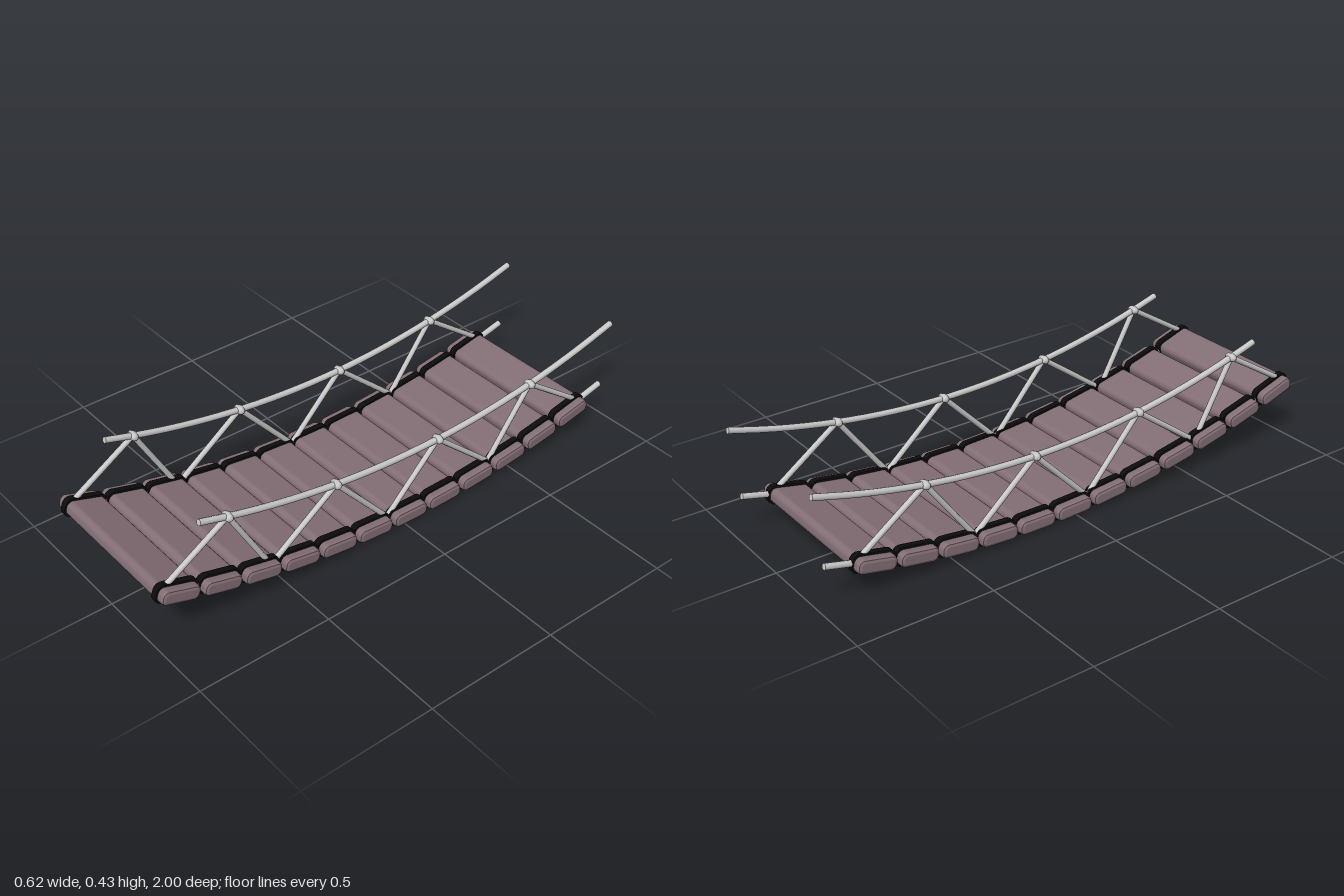
import * as THREE from 'three';

const wood = new THREE.MeshStandardMaterial({ color: 0x846f76 });
const black = new THREE.MeshStandardMaterial({ color: 0x0c0c0c });
const grey = new THREE.MeshStandardMaterial({ color: 0xcccccc });

const SIDE_X = 0.268;
const PLANKS = 12;
const ROPE_R = 0.0115;

// sagging curves of the deck and of the hand rope
const deckY = (z) => 0.034 + 0.159 * (z + 0.12) ** 2;
const railY = (z) => 0.272 + 0.169 * (z + 0.12) ** 2;

function add(parent, name, geometry, material) {
  const mesh = new THREE.Mesh(geometry, material);
  mesh.name = name;
  parent.add(mesh);
  return mesh;
}

// rounded rectangle cross-section extruded across x, centred on the origin
function slab(halfLength, halfHeight, radius, width, bevel) {
  const l = halfLength - bevel, h = halfHeight - bevel;
  const r = Math.max(radius - bevel, 0.002);
  const s = new THREE.Shape();
  s.absarc(l - r, h - r, r, 0, Math.PI / 2);
  s.absarc(-l + r, h - r, r, Math.PI / 2, Math.PI);
  s.absarc(-l + r, -h + r, r, Math.PI, Math.PI * 1.5);
  s.absarc(l - r, -h + r, r, Math.PI * 1.5, Math.PI * 2);
  s.closePath();
  const g = new THREE.ExtrudeGeometry(s, {
    depth: width - 2 * bevel,
    curveSegments: 3,
    bevelEnabled: bevel > 0,
    bevelSize: bevel,
    bevelThickness: bevel,
    bevelSegments: 2,
  });
  g.translate(0, 0, -width / 2 + bevel);
  g.rotateY(-Math.PI / 2);
  return g;
}

// capped rope following a height function between two z positions
function sagRope(parent, name, heightAt, z0, z1) {
  const pts = [];
  for (let i = 0; i <= 12; i++) {
    const z = z0 + ((z1 - z0) * i) / 12;
    pts.push(new THREE.Vector3(0, heightAt(z), z));
  }
  const curve = new THREE.CatmullRomCurve3(pts);
  const rope = add(parent, name, new THREE.TubeGeometry(curve, 32, ROPE_R, 8), grey);
  for (const t of [0, 1]) {
    const dir = curve.getTangent(t).multiplyScalar(t ? 1 : -1);
    const cap = add(rope, name + 'End', new THREE.CircleGeometry(ROPE_R, 8), grey);
    cap.position.copy(curve.getPoint(t));
    cap.quaternion.setFromUnitVectors(new THREE.Vector3(0, 0, 1), dir);
  }
}

// straight rope between two [z, y] points
function stay(parent, a, b) {
  const p = new THREE.Vector3(0, a[1], a[0]);
  const q = new THREE.Vector3(0, b[1], b[0]);
  const d = q.clone().sub(p);
  const mesh = add(parent, 'diagonalRope', new THREE.CylinderGeometry(0.01, 0.01, d.length(), 8), grey);
  mesh.position.copy(p).add(q).multiplyScalar(0.5);
  mesh.quaternion.setFromUnitVectors(new THREE.Vector3(0, 1, 0), d.normalize());
}

export function createModel() {
  const model = new THREE.Group();
  model.name = 'ropeBridge';

  // planks, each bound by a black strap near both ends
  const plankGeo = slab(0.073, 0.0265, 0.022, 0.62, 0.012);
  const strapGeo = slab(0.079, 0.034, 0.025, 0.023, 0);
  for (let i = 0; i < PLANKS; i++) {
    const z = 0.918 - i * 0.1562;
    const unit = new THREE.Group();
    unit.name = 'plankUnit';
    unit.position.set(0, deckY(z), z);
    unit.rotation.x = -Math.atan(2 * 0.159 * (z + 0.12));
    add(unit, 'plank', plankGeo, wood);
    for (const s of [-1, 1]) add(unit, 'strap', strapGeo, black).position.x = s * SIDE_X;
    model.add(unit);
  }

  // rope railing on each side
  const knotZ = [0.709, 0.281, -0.163, -0.596];
  const footPoints = [[0.975, 0.226], [0.553, 0.104], [0.06, 0.046], [-0.409, 0.058], [-0.863, 0.121]];
  const knotGeo = new THREE.SphereGeometry(1, 8, 4);
  knotGeo.rotateZ(Math.PI / 2);
  for (const s of [-1, 1]) {
    const side = new THREE.Group();
    side.name = s > 0 ? 'leftRailing' : 'rightRailing';
    side.position.x = s * SIDE_X;
    sagRope(side, 'handRope', railY, 0.815, -0.997);
    sagRope(side, 'deckRope', deckY, 0.93, -0.97);
    knotZ.forEach((z, i) => {
      const top = [z, railY(z)];
      stay(side, footPoints[i], top);
      stay(side, top, footPoints[i + 1]);
      const knot = add(side, 'knot', knotGeo, grey);
      knot.position.set(0, railY(z), z);
      knot.scale.set(0.025, 0.017, 0.017);
    });
    model.add(side);
  }
  return model;
}
